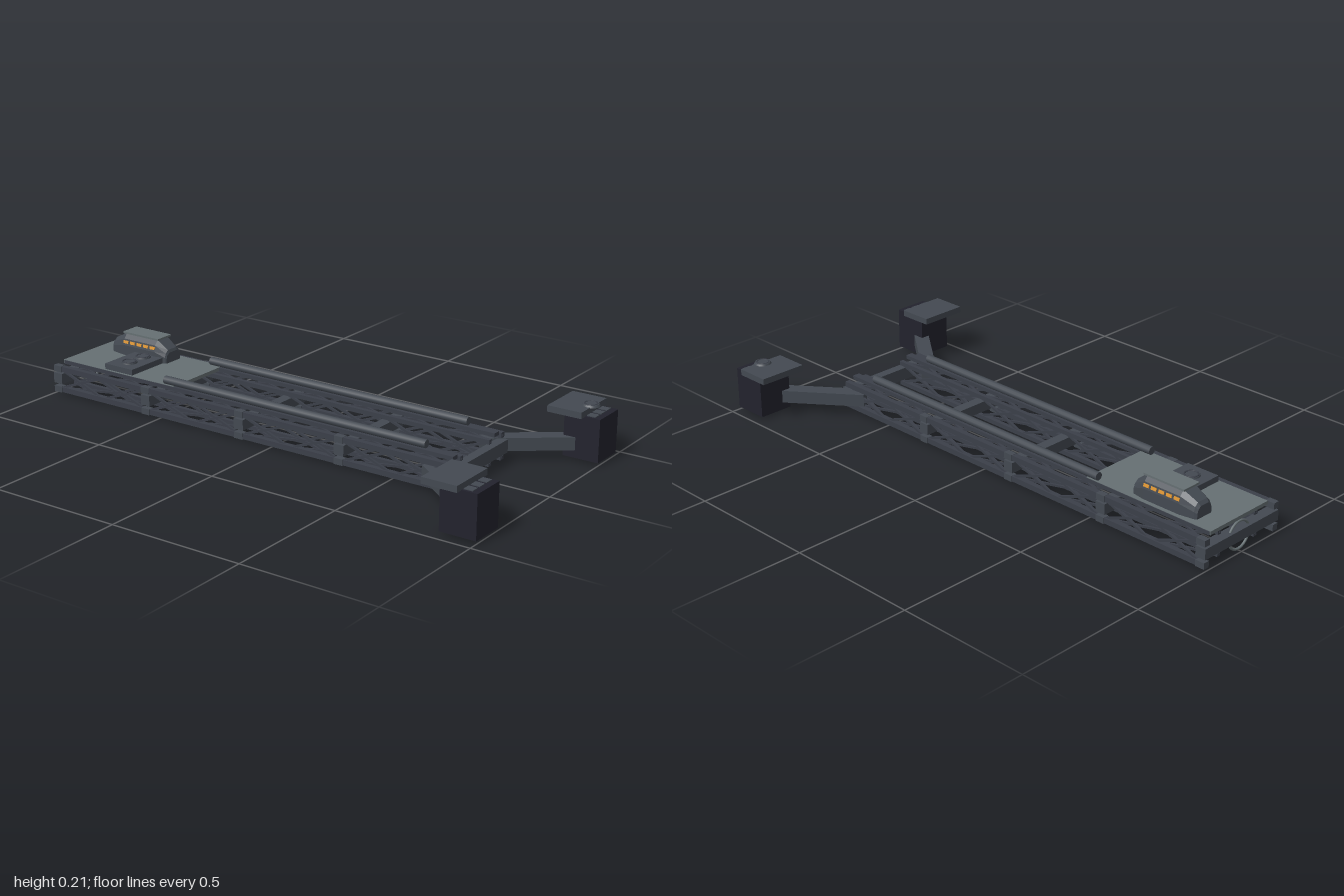
import * as THREE from 'three';

const mat = (name, color, double) => {
  const m = new THREE.MeshStandardMaterial({ color });
  m.name = name;
  if (double) m.side = THREE.DoubleSide;
  return m;
};

export function createModel() {
  const frameMat = mat('frame grey', 0x3b3f49);
  const hullMat = mat('hull grey', 0x434951);
  const deckMat = mat('deck grey', 0x667073);
  const engineMat = mat('engine black', 0x22222d);
  const windowMat = mat('window amber', 0xdc9432, true);

  const root = new THREE.Group();
  root.name = 'trussCarrier';

  const add = (name, geo, material, x = 0, y = 0, z = 0, parent = root) => {
    const m = new THREE.Mesh(geo, material);
    m.name = name;
    m.position.set(x, y, z);
    parent.add(m);
    return m;
  };
  const box = (name, material, x0, x1, y0, y1, z0, z1, parent) =>
    add(name, new THREE.BoxGeometry(x1 - x0, y1 - y0, z1 - z0), material,
      (x0 + x1) / 2, (y0 + y1) / 2, (z0 + z1) / 2, parent);

  // Square bar between two points
  const bar = (name, a, b, w, h, material, parent) => {
    const va = new THREE.Vector3(...a), vb = new THREE.Vector3(...b);
    const m = add(name, new THREE.BoxGeometry(w, h, va.distanceTo(vb)), material,
      ...va.clone().lerp(vb, 0.5).toArray(), parent);
    m.lookAt(vb);
    return m;
  };

  // Two box trusses: four chords each, with crossed bracing on all four faces
  const X0 = -0.98, X1 = 0.72, CELLS = 8;
  const YB = 0.02, YT = 0.1, ZI = 0.093, ZO = 0.175;
  for (const s of [1, -1]) {
    const truss = new THREE.Group();
    truss.name = s > 0 ? 'frontTruss' : 'backTruss';
    root.add(truss);
    for (const y of [YB, YT]) for (const z of [ZI, ZO]) {
      const r = z === ZO ? 0.01 : 0.008;
      box('chord', frameMat, X0, X1, y - r, y + r, s * z - r, s * z + r, truss);
    }
    const faces = [
      [[YB, ZO], [YT, ZO]], [[YB, ZI], [YT, ZI]],
      [[YT, ZI], [YT, ZO]], [[YB, ZI], [YB, ZO]],
    ];
    const step = (X1 - X0) / CELLS;
    for (let i = 0; i < CELLS; i++) {
      const xa = X0 + i * step, xb = xa + step;
      for (const [p, q] of faces) {
        bar('brace', [xa, p[0], s * p[1]], [xb, q[0], s * q[1]], 0.008, 0.008, frameMat, truss);
        bar('brace', [xa, q[0], s * q[1]], [xb, p[0], s * p[1]], 0.008, 0.008, frameMat, truss);
      }
    }
    // Rail bed and round rail
    box('railBed', frameMat, X0, X1, 0.108, 0.122, s * 0.133 - 0.014, s * 0.133 + 0.014, truss);
    const rail = add('rail', new THREE.CylinderGeometry(0.015, 0.015, 1.11, 12), hullMat, 0.055, 0.138, s * 0.133, truss);
    rail.rotation.z = Math.PI / 2;
  }

  // Cross beams and the end beam
  for (let i = 0; i < 4; i++) {
    const x = X0 + i * 0.425;
    box('crossBeam', hullMat, x - 0.02, x + 0.02, 0.042, 0.081, -0.186, 0.186);
    for (const s of [1, -1]) for (const y of [YB, YT])
      box('chordCollar', hullMat, x - 0.018, x + 0.018, y - 0.012, y + 0.011, s * ZO - 0.012, s * ZO + 0.012);
  }
  box('endBeam', hullMat, 0.7, 0.735, 0.037, 0.084, -0.186, 0.186);

  // Docking ring
  const ring = add('dockingRing', new THREE.TorusGeometry(0.051, 0.0045, 8, 32), deckMat, -0.985, 0.0555, 0);
  ring.rotation.y = Math.PI / 2;

  // Deck, equipment box and hatches
  box('deck', deckMat, -0.985, -0.455, 0.11, 0.1235, -0.145, 0.145);
  box('equipmentBox', hullMat, -0.785, -0.655, 0.12, 0.145, -0.035, 0.138);
  for (const z of [0, 0.077]) {
    add('hatch', new THREE.CylinderGeometry(0.029, 0.031, 0.006, 20), hullMat, -0.72, 0.147, z);
    const rim = add('hatchRim', new THREE.TorusGeometry(0.024, 0.003, 6, 20), frameMat, -0.72, 0.15, z);
    rim.rotation.x = Math.PI / 2;
  }

  // Cabin lofted from arch sections: x, width scale, height scale
  const arch = [[0.05, 0], [0.05, 0.042], [0.044, 0.066], [0.028, 0.084],
    [-0.028, 0.084], [-0.044, 0.066], [-0.05, 0.042], [-0.05, 0]];
  const sections = [[-0.905, 0.7, 0.55], [-0.895, 0.8, 0.68], [-0.84, 1, 1], [-0.69, 1, 1], [-0.645, 0.85, 0.62], [-0.64, 0.78, 0.5]];
  const CZ = -0.08, CY = 0.12;
  const pos = [], idx = [], n = arch.length;
  for (const [x, w, h] of sections) for (const [z, y] of arch) pos.push(x, CY + y * h, CZ + z * w);
  for (let i = 0; i < sections.length - 1; i++) for (let j = 0; j < n - 1; j++) {
    const a = i * n + j, b = a + n;
    idx.push(a, b, b + 1, a, b + 1, a + 1);
  }
  const last = (sections.length - 1) * n;
  for (let j = 1; j < n - 1; j++) idx.push(0, j, j + 1, last, last + j + 1, last + j);
  let cabinGeo = new THREE.BufferGeometry();
  cabinGeo.setAttribute('position', new THREE.Float32BufferAttribute(pos, 3));
  cabinGeo.setIndex(idx);
  cabinGeo = cabinGeo.toNonIndexed();
  cabinGeo.computeVertexNormals();
  add('cabin', cabinGeo, hullMat);
  box('cabinRoofPlate', deckMat, -0.85, -0.68, 0.204, 0.211, CZ - 0.038, CZ + 0.038);

  // Window strips on both sloping cabin sides
  for (const s of [1, -1]) for (let i = 0; i < 5; i++) {
    const w = add('cabinWindow', new THREE.BoxGeometry(0.023, 0.011, 0.004), windowMat,
      -0.829 + i * 0.032, CY + 0.055, CZ + s * 0.0475);
    w.rotation.x = -s * 0.245;
  }

  // Outrigger arms, engine blocks and landing pads
  for (const s of [1, -1]) {
    const side = new THREE.Group();
    side.name = s > 0 ? 'frontOutrigger' : 'backOutrigger';
    root.add(side);
    bar('arm', [0.64, 0.061, s * 0.16], [0.9, 0.061, s * 0.36], 0.055, 0.047, hullMat, side);
    box('engineBlock', engineMat, 0.866, 1, 0.01, 0.166, s * 0.4 - 0.066, s * 0.4 + 0.066, side);
    box('pad', hullMat, 0.812, 0.942, 0.164, 0.187, s * 0.4 - 0.091, s * 0.4 + 0.091, side);
    for (const d of [-0.042, 0, 0.042])
      box('engineVent', hullMat, 0.945, 0.978, 0.165, 0.169, s * 0.4 + d - 0.015, s * 0.4 + d + 0.015, side);
  }
  // Turntable on the back pad
  add('turntable', new THREE.CylinderGeometry(0.028, 0.033, 0.008, 24), hullMat, 0.93, 0.189, -0.4);
  const turnRim = add('turntableRim', new THREE.TorusGeometry(0.022, 0.003, 6, 24), frameMat, 0.93, 0.192, -0.4);
  turnRim.rotation.x = Math.PI / 2;

  return root;
}
